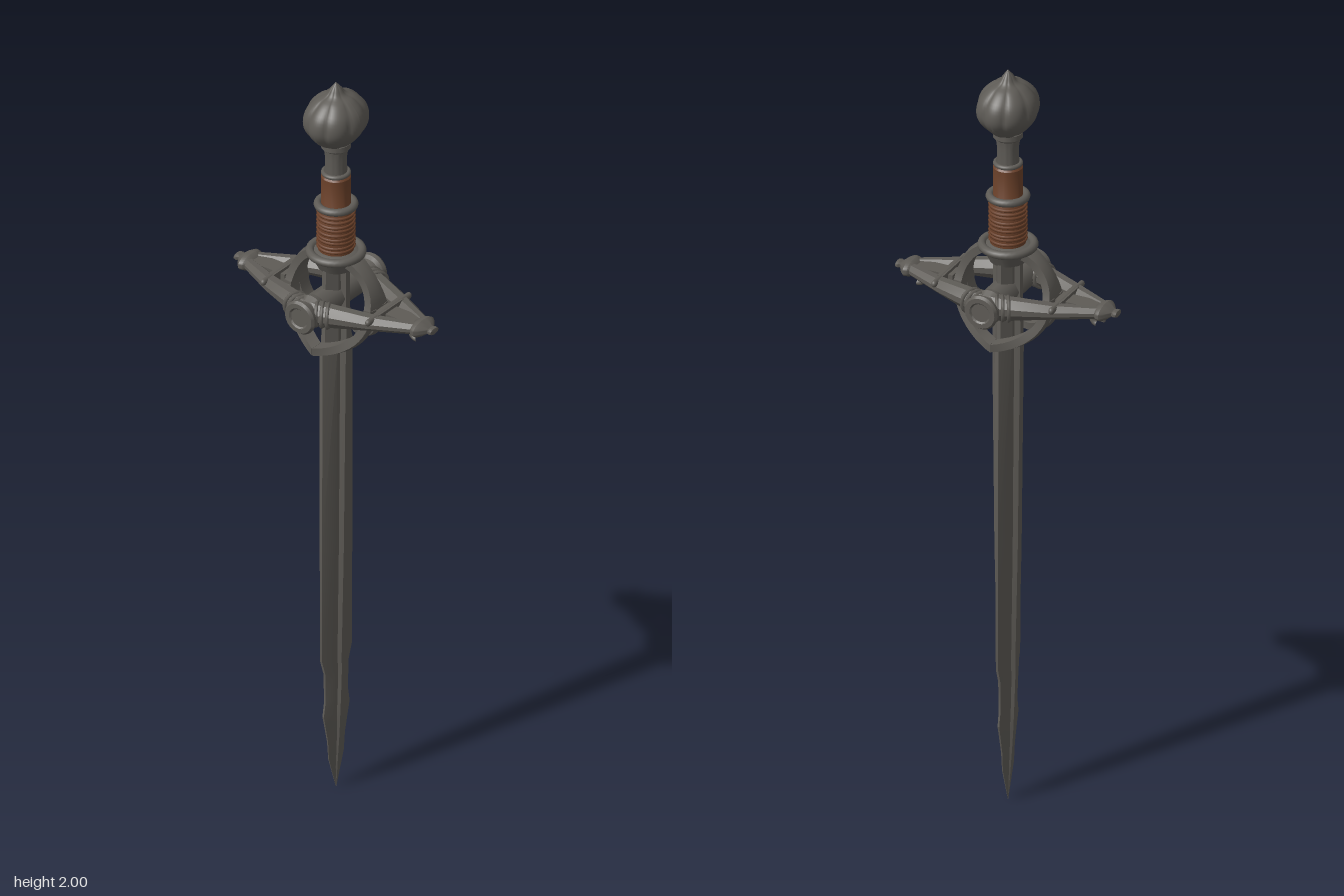
import * as THREE from 'three';
import { toCreasedNormals } from 'three/addons/utils/BufferGeometryUtils.js';

const steel = new THREE.MeshStandardMaterial({ color: 0x5e5b56 });
steel.name = 'dark steel';
const leather = new THREE.MeshStandardMaterial({ color: 0x6a4029 });
leather.name = 'brown leather';

const GUARD_Y = 1.4;

// Closed solid skinned over cross-sections, turned outward whatever the mirroring
function loft(rings, crease = 0.6) {
  const n = rings[0].length, pos = [], idx = [];
  rings.forEach(r => r.forEach(p => pos.push(...p)));
  for (let i = 0; i < rings.length - 1; i++)
    for (let j = 0; j < n; j++) {
      const a = i * n + j, b = i * n + (j + 1) % n;
      idx.push(a, b, a + n, b, b + n, a + n);
    }
  const last = (rings.length - 1) * n;
  for (let j = 1; j < n - 1; j++) idx.push(0, j + 1, j, last, last + j, last + j + 1);
  const v = k => new THREE.Vector3().fromArray(pos, idx[k] * 3);
  let volume = 0;
  for (let k = 0; k < idx.length; k += 3) volume += v(k).dot(v(k + 1).cross(v(k + 2)));
  if (volume < 0) idx.reverse();
  const g = new THREE.BufferGeometry();
  g.setAttribute('position', new THREE.Float32BufferAttribute(pos, 3));
  g.setIndex(idx);
  return toCreasedNormals(g, crease);
}

const lathe = (pts, seg = 32) =>
  toCreasedNormals(new THREE.LatheGeometry(pts.map(p => new THREE.Vector2(...p)), seg), 0.7);

export function createModel() {
  const model = new THREE.Group();
  model.name = 'sword';
  const add = (name, geo, mat = steel) => {
    const m = new THREE.Mesh(geo, mat);
    m.name = name;
    model.add(m);
    return m;
  };

  // Blade: [y, half width, half thickness], with a raised spine on both faces
  const blade = [
    [0, 0.001, 0.001], [0.09, 0.03, 0.01], [0.14, 0.034, 0.014], [0.19, 0.045, 0.018],
    [0.22, 0.052, 0.02], [0.26, 0.045, 0.021], [0.34, 0.047, 0.024], [0.38, 0.06, 0.025],
    [0.7, 0.061, 0.032], [1.25, 0.061, 0.038], [1.29, 0.05, 0.038], [1.52, 0.046, 0.036],
  ];
  const quarter = [[1, 0.12], [0.42, 0.62], [0.26, 0.65], [0.17, 1]];
  const outline = [
    ...quarter,
    ...quarter.map(([x, z]) => [-x, z]).reverse(),
    ...quarter.map(([x, z]) => [-x, -z]),
    ...quarter.map(([x, z]) => [x, -z]).reverse(),
  ];
  add('blade', loft(blade.map(([y, w, t]) => outline.map(([x, z]) => [x * w, y, z * t])), 0.35));

  // Grip, its cord turns and metal collars
  add('grip', lathe([[0, 1.51], [0.044, 1.51], [0.046, 1.58], [0.043, 1.65], [0.037, 1.66],
    [0.037, 1.735], [0.028, 1.745], [0, 1.745]]), leather);
  for (let i = 0; i < 9; i++) {
    const cord = add('gripCord', new THREE.TorusGeometry(0.0445, 0.004, 6, 28), leather);
    cord.rotation.set(Math.PI / 2, 0.04 * Math.sin(i * 2.3), 0);
    cord.position.y = 1.54 + i * 0.0118;
  }
  for (const [y, r, t] of [[1.522, 0.064, 0.011], [1.655, 0.045, 0.01], [1.745, 0.031, 0.006]]) {
    const collar = add('gripCollar', new THREE.TorusGeometry(r, t, 10, 32));
    collar.rotation.x = Math.PI / 2;
    collar.position.y = y;
  }
  add('gripBase', lathe([[0, 1.48], [0.045, 1.48], [0.065, 1.52], [0.045, 1.53], [0, 1.53]]));
  add('neck', lathe([[0, 1.73], [0.028, 1.73], [0.027, 1.79], [0.03, 1.812], [0.037, 1.818],
    [0.037, 1.832], [0.03, 1.838], [0, 1.838]]));

  // Pommel: lobed bulb, slightly flattened front to back
  const bulb = new THREE.SplineCurve([[0.028, 1.825], [0.055, 1.842], [0.083, 1.872], [0.09, 1.9],
    [0.081, 1.93], [0.055, 1.955], [0.028, 1.968], [0.015, 1.984], [0.0, 2]]
    .map(p => new THREE.Vector2(...p)));
  const pommel = new THREE.LatheGeometry(bulb.getPoints(30).map(p => p.setX(Math.max(0, p.x))), 80);
  const pp = pommel.attributes.position;
  for (let i = 0; i < pp.count; i++) {
    const x = pp.getX(i), y = pp.getY(i), z = pp.getZ(i);
    const flute = Math.abs(Math.cos(4 * (Math.atan2(z, x) + (y - 1.9) * 1.5)));
    const k = 0.9 + 0.1 * Math.sqrt(flute);
    pp.setXYZ(i, x * k, y, z * k * 0.84);
  }
  pommel.computeVertexNormals();
  add('pommel', pommel);
  const seam = add('pommelSeam', new THREE.TorusGeometry(0.083, 0.007, 8, 40));
  seam.scale.set(1, 0.75, 1);
  seam.position.y = 1.896;

  // Centre of the guard
  const hub = add('guardHub', new THREE.CylinderGeometry(0.035, 0.035, 0.2, 8));
  hub.rotation.z = Math.PI / 2;
  hub.position.y = GUARD_Y;

  // Section of the side ring at angle a from its top
  const ringSection = (a, xc, hw, sz) => [[-1, -1], [0, -1], [1, -1], [1, 1], [0, 1.5], [-1, 1]]
    .map(([u, v]) => {
      const r = 0.121 + v * 0.01;
      return [xc + u * hw, GUARD_Y + r * Math.cos(a), sz * r * Math.sin(a)];
    });
  // Slanted guard bar: [z, centre x, half width, half height]
  const bar = [[0, 0.105, 0.027, 0.032], [0.04, 0.1, 0.027, 0.03],
    [0.15, 0.061, 0.025, 0.019], [0.255, 0.017, 0.017, 0.014]];
  const facets = [[1, 0.3], [0.4, 1], [-0.4, 1], [-1, 0.3], [-1, -0.3], [-0.4, -1], [0.4, -1], [1, -0.3]];

  for (const sz of [1, -1]) {
    // Upper ring leaf, split into two spreading arms below
    const leaf = [];
    for (let i = 0; i <= 12; i++) {
      const u = i / 12;
      leaf.push(ringSection(0.05 + u * 1.6, 0, 0.042 - 0.08 * u * (1 - u) - 0.002 * u, sz));
    }
    add('ringLeaf', loft(leaf));

    for (const sx of [1, -1]) {
      const arm = [];
      for (let i = 0; i <= 14; i++) {
        const u = i / 14;
        arm.push(ringSection(1.5 + u * 1.64, sx * (0.018 + 0.062 * u * u), 0.018, sz));
      }
      add('ringArm', loft(arm));
      add('guardBar', loft(bar.map(([z, cx, w, h]) =>
        facets.map(([u, v]) => [sx * (cx + u * w), GUARD_Y + v * h, sz * z])), 0.4));
      // Binding ribs near the side caps
      for (let i = 0; i < 3; i++) {
        const rib = add('barRib', new THREE.TorusGeometry(0.03, 0.005, 6, 20));
        rib.position.set(sx * (0.105 - i * 0.004), GUARD_Y, sz * (0.022 + i * 0.014));
        rib.rotation.y = -sx * sz * 0.5;
      }
    }

    // Crossbar, middle strip and turned finial
    const cross = add('guardCrossbar', new THREE.CapsuleGeometry(0.009, 0.162, 6, 12));
    cross.rotation.z = Math.PI / 2;
    cross.scale.z = 0.85;
    cross.position.set(0, GUARD_Y + 0.012, sz * 0.16);
    const band = add('guardBand', new THREE.BoxGeometry(0.1, 0.04, 0.016));
    band.position.set(0, GUARD_Y, sz * 0.16);
    const strip = add('guardStrip', new THREE.BoxGeometry(0.045, 0.024, 0.12));
    strip.position.set(0, GUARD_Y, sz * 0.2);
    const finial = add('finial', lathe([[0, 0.24], [0.024, 0.243], [0.041, 0.257], [0.043, 0.267],
      [0.035, 0.275], [0.02, 0.285], [0.015, 0.289], [0.018, 0.294], [0.016, 0.301], [0, 0.304]]));
    finial.rotation.x = sz * Math.PI / 2;
    finial.scale.z = 0.5;
    finial.position.y = GUARD_Y;
    // Small curl under the finial
    const curl = add('finialCurl', new THREE.TorusGeometry(0.015, 0.007, 8, 20, Math.PI * 1.5));
    curl.rotation.y = -sz * Math.PI / 2;
    curl.rotation.z = sz * 0.2;
    curl.position.set(0, GUARD_Y - 0.026, sz * 0.245);
  }

  // Flared caps at both sides of the guard
  for (const sx of [1, -1]) {
    const cap = add('sideCap', lathe([[0, 0.085], [0.036, 0.085], [0.04, 0.1], [0.031, 0.118],
      [0.034, 0.13], [0.043, 0.136], [0.045, 0.146], [0.04, 0.153], [0.028, 0.153], [0.024, 0.149], [0, 0.149]]));
    cap.rotation.z = -sx * Math.PI / 2;
    cap.position.y = GUARD_Y;
  }
  return model;
}
